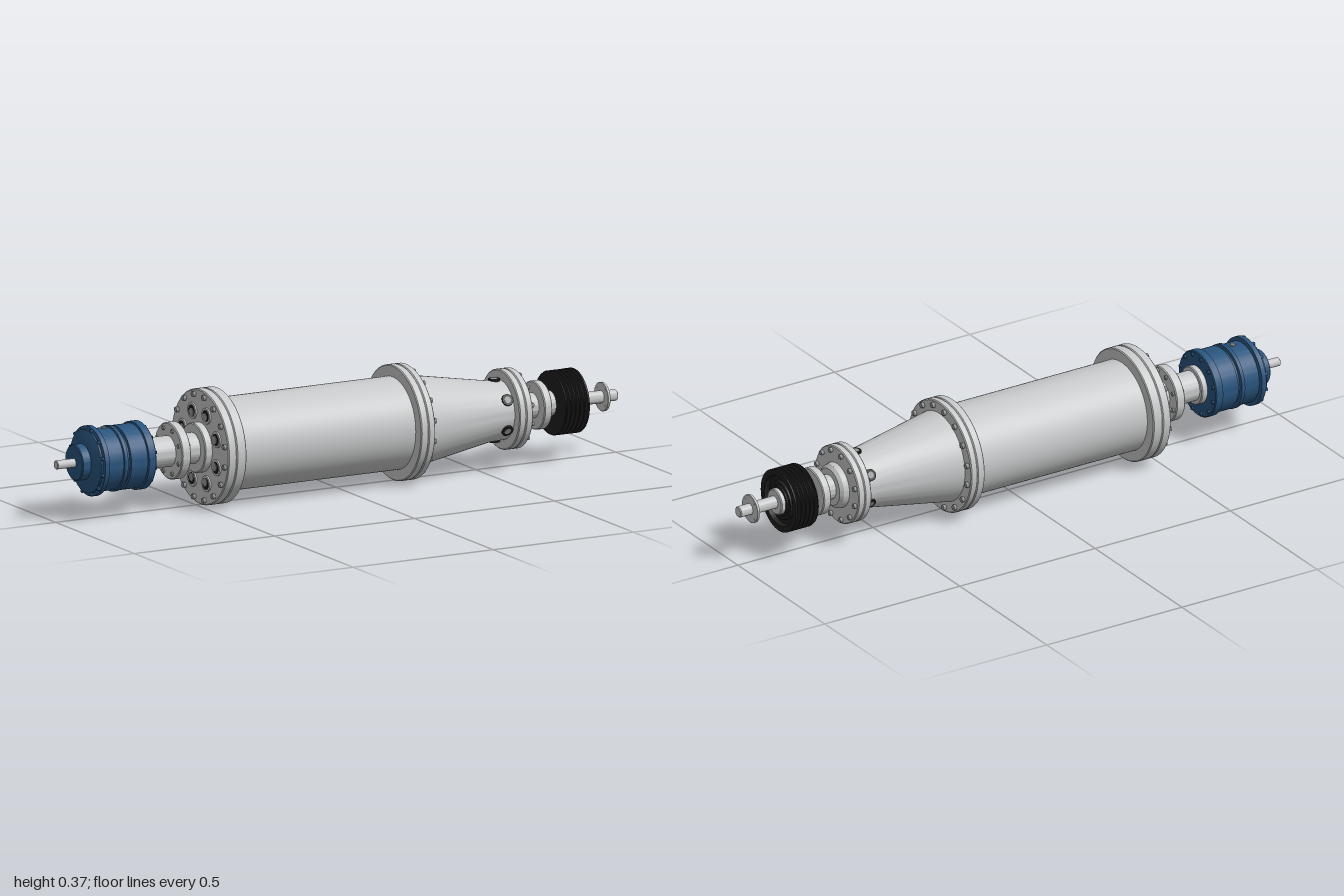
import * as THREE from 'three';
import { toCreasedNormals } from 'three/addons/utils/BufferGeometryUtils.js';

const paint = (name, color) => {
  const m = new THREE.MeshStandardMaterial({ color });
  m.name = name;
  return m;
};

export function createModel() {
  const steel = paint('light steel', 0xc8c9ca);
  const boltGrey = paint('bolt grey', 0x98999b);
  const blue = paint('gearbox blue', 0x2a557e);
  const black = paint('pulley black', 0x1f1f20);

  const model = new THREE.Group();
  const axis = new THREE.Group(); // the whole machine lies along x
  axis.name = 'rotatingAssembly';
  axis.position.y = 0.183;
  model.add(axis);

  const add = (name, geometry, material, parent = axis) => {
    const mesh = new THREE.Mesh(geometry, material);
    mesh.name = name;
    parent.add(mesh);
    return mesh;
  };

  // Turned part from [x, radius] pairs, running from left to right
  const turned = (name, profile, material, segments = 72) => {
    const pts = profile.map(([x, r]) => new THREE.Vector2(r, x));
    const geo = new THREE.LatheGeometry(pts, segments);
    geo.rotateZ(-Math.PI / 2);
    return add(name, toCreasedNormals(geo, 0.5), material);
  };

  // Solid disc with slightly chamfered rims
  const disc = (name, x0, x1, r, material, c = 0.003) => turned(name, [
    [x0, 0], [x0, r - c], [x0 + c, r], [x1 - c, r], [x1, r - c], [x1, 0],
  ], material);

  // Ring of cylinders whose axes run along x
  const ring = (name, x, radius, count, size, height, material, offset = 0.5, sides = 6) => {
    const group = new THREE.Group();
    group.name = name;
    axis.add(group);
    const geo = new THREE.CylinderGeometry(size, size, height, sides);
    geo.rotateZ(-Math.PI / 2);
    for (let i = 0; i < count; i++) {
      const a = (i + offset) / count * Math.PI * 2;
      add(name + 'Item', geo, material, group)
        .position.set(x, Math.cos(a) * radius, Math.sin(a) * radius);
    }
  };

  // Left drive shaft and gearbox
  disc('leftShaftEnd', -1, -0.92, 0.014, steel, 0.002);
  turned('gearbox', [
    [-0.935, 0], [-0.935, 0.054], [-0.932, 0.057], [-0.905, 0.057],
    [-0.896, 0.095], [-0.893, 0.1], [-0.887, 0.1], [-0.884, 0.111], [-0.868, 0.111],
    [-0.865, 0.099], [-0.812, 0.099], [-0.81, 0.104], [-0.798, 0.104], [-0.796, 0.094],
    [-0.788, 0.094], [-0.786, 0.102], [-0.728, 0.102], [-0.726, 0.108],
    [-0.702, 0.108], [-0.699, 0.105], [-0.699, 0],
  ], blue);
  ring('gearboxFrontBolts', -0.886, 0.104, 12, 0.006, 0.014, blue);
  ring('gearboxRearBolts', -0.698, 0.096, 12, 0.006, 0.01, blue);
  add('gearboxPlug', new THREE.CylinderGeometry(0.009, 0.009, 0.008, 6), boltGrey)
    .position.set(-0.83, 0.1, 0);

  // Left journal
  disc('gearboxAdapter', -0.7, -0.677, 0.062, steel);
  disc('leftJournal', -0.68, -0.5, 0.049, steel);
  disc('leftBearingFlange', -0.598, -0.566, 0.09, steel);
  ring('leftFlangeBoltsInner', -0.565, 0.074, 8, 0.007, 0.008, boltGrey);
  ring('leftFlangeBoltsOuter', -0.599, 0.074, 8, 0.007, 0.008, boltGrey);
  disc('leftHub', -0.51, -0.48, 0.079, steel);

  // Main bowl with its end flanges
  disc('leftEndPlate', -0.485, -0.455, 0.183, steel);
  disc('leftBowlFlange', -0.455, -0.42, 0.183, steel);
  ring('leftPlateBolts', -0.489, 0.167, 16, 0.009, 0.012, boltGrey);
  disc('bowl', -0.43, 0.21, 0.147, steel, 0.001);
  disc('rightBowlFlange', 0.203, 0.23, 0.183, steel);
  disc('coneFlange', 0.23, 0.254, 0.183, steel);
  ring('coneFlangeBolts', 0.258, 0.167, 16, 0.009, 0.012, boltGrey);

  // Overflow ports in the left end plate
  ring('overflowRims', -0.486, 0.117, 8, 0.026, 0.008, steel, 0.5, 28);
  ring('overflowOpenings', -0.489, 0.117, 8, 0.019, 0.004, black, 0.5, 28);
  ring('overflowWeirs', -0.49, 0.112, 8, 0.013, 0.004, boltGrey, 0.5, 28);

  // Tapered section
  turned('cone', [
    [0.25, 0], [0.25, 0.147], [0.262, 0.145], [0.535, 0.097], [0.59, 0.095], [0.59, 0],
  ], steel);
  for (let i = 0; i < 6; i++) {
    const port = new THREE.Group();
    port.name = 'dischargePort';
    port.rotation.x = i * Math.PI / 3;
    axis.add(port);
    add('portBushing', new THREE.CylinderGeometry(0.019, 0.019, 0.02, 24), black, port)
      .position.set(0.565, 0.091, 0);
    add('portInsert', new THREE.CylinderGeometry(0.011, 0.011, 0.021, 24), boltGrey, port)
      .position.set(0.565, 0.091, 0);
  }

  // Right end flange and journal
  disc('rightEndFlangeInner', 0.586, 0.61, 0.127, steel);
  disc('rightEndFlangeOuter', 0.61, 0.634, 0.127, steel);
  ring('rightEndBolts', 0.638, 0.113, 12, 0.008, 0.012, boltGrey);
  turned('rightHub', [
    [0.63, 0], [0.63, 0.074], [0.652, 0.07], [0.662, 0.06], [0.662, 0],
  ], steel);
  disc('rightJournal', 0.655, 0.77, 0.04, steel);
  disc('rightBearingFlange', 0.703, 0.731, 0.077, steel);

  // Belt pulley with V grooves and a recessed face
  const belt = [[0.765, 0], [0.765, 0.1]];
  for (let i = 0; i < 5; i++) {
    const x = 0.769 + i * 0.0156;
    belt.push([x, 0.102], [x + 0.004, 0.088], [x + 0.009, 0.088], [x + 0.013, 0.102]);
  }
  belt.push([0.85, 0.102], [0.85, 0.082], [0.835, 0.078], [0.835, 0.064],
    [0.845, 0.062], [0.845, 0.052], [0.85, 0.05], [0.85, 0]);
  turned('beltPulley', belt, black);

  // Right shaft end and its small drilled disc
  disc('pulleyHub', 0.845, 0.865, 0.042, steel);
  disc('rightShaft', 0.86, 0.95, 0.02, steel, 0.001);
  disc('rightShaftEnd', 0.94, 1, 0.018, steel, 0.003);
  disc('shearDisc', 0.947, 0.956, 0.046, steel, 0.001);
  ring('shearDiscHoles', 0.9515, 0.036, 4, 0.004, 0.0094, boltGrey, 0.5, 16);

  return model;
}
